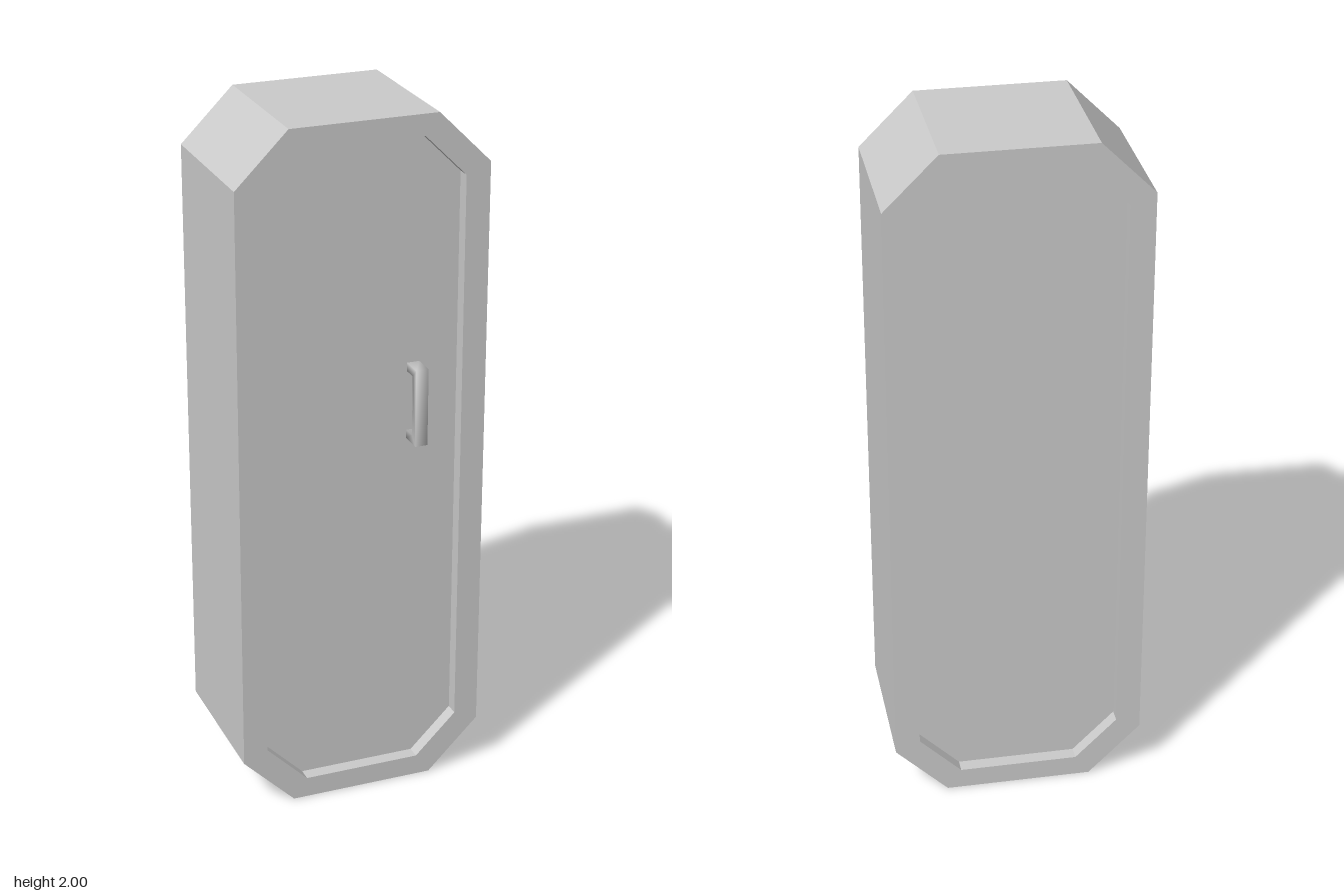
import * as THREE from 'three';
import { mergeVertices } from 'three/addons/utils/BufferGeometryUtils.js';

const HALF_W = 0.36, HEIGHT = 2, BACK = -0.232, FRONT = 0.207, RECESS = 0.04;

// Corner points of an upright rectangle with cut corners, centred on x = 0
function octagon(halfW, bottom, top, cutX, cutY) {
  const w = halfW, c = halfW - cutX;
  return [
    [-c, bottom], [c, bottom], [w, bottom + cutY], [w, top - cutY],
    [c, top], [-c, top], [-w, top - cutY], [-w, bottom + cutY],
  ].map(([x, y]) => new THREE.Vector2(x, y));
}

function extrude(shape, depth) {
  return new THREE.ExtrudeGeometry(shape, { depth, bevelEnabled: false });
}

export function createModel() {
  const group = new THREE.Group();
  const flat = new THREE.MeshStandardMaterial({ color: 0xcccccc, flatShading: true });
  const smooth = new THREE.MeshStandardMaterial({ color: 0xcccccc });

  const add = (name, geometry, material, z) => {
    const mesh = new THREE.Mesh(geometry, material);
    mesh.name = name;
    mesh.position.z = z;
    group.add(mesh);
    return mesh;
  };

  // Outer casing, open at front and back
  const inner = octagon(0.29, 0.06, 1.94, 0.12, 0.12);
  const casing = new THREE.Shape(octagon(HALF_W, 0, HEIGHT, 0.15, 0.15));
  casing.holes.push(new THREE.Path(inner));
  add('casing', extrude(casing, FRONT - BACK), flat, BACK);

  // Door and back panel, both set into the casing
  const thickness = 0.03;
  const panel = extrude(new THREE.Shape(inner), thickness);
  const doorZ = FRONT - RECESS;
  add('door', panel, flat, doorZ - thickness);
  add('backPanel', panel, flat, BACK + RECESS);

  // U-shaped handle: side profile drawn as (reach, y), softly shaded
  const reach = 0.065, bar = 0.025, low = 1.065, high = 1.29, width = 0.036;
  const profile = new THREE.Shape([
    [0, low], [reach, low], [reach, high], [0, high],
    [0, high - bar], [reach - bar, high - bar], [reach - bar, low + bar], [0, low + bar],
  ].map(([x, y]) => new THREE.Vector2(x, y)));
  let handle = extrude(profile, width);
  handle.deleteAttribute('normal');
  handle.deleteAttribute('uv');
  handle = mergeVertices(handle);
  handle.computeVertexNormals();
  handle.rotateY(-Math.PI / 2);
  add('handle', handle, smooth, doorZ).position.x = 0.179;

  return group;
}
